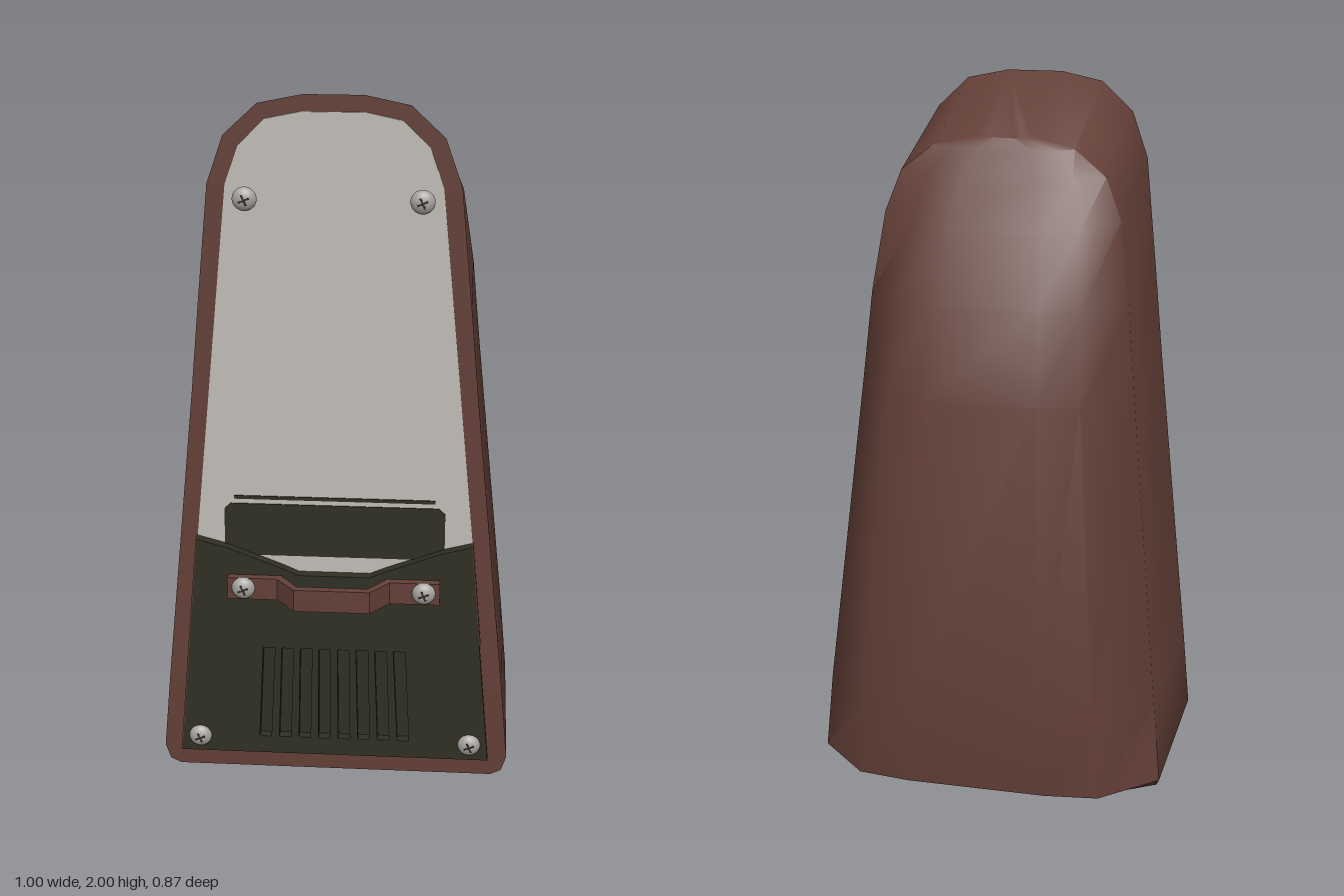
import * as THREE from 'three';
import { toCreasedNormals } from 'three/addons/utils/BufferGeometryUtils.js';

const mat = (name, color) => {
  const m = new THREE.MeshStandardMaterial({ color });
  m.name = name;
  return m;
};

// Closed shape from the right half of a symmetric outline
function mirroredShape(half) {
  const left = half.map(([x, y]) => [-x, y]).reverse();
  return new THREE.Shape([...half, ...left].map(([x, y]) => new THREE.Vector2(x, y)));
}

// Case: U-shaped sections stacked upward, tilting down to the back near the top
function caseGeometry() {
  const FRONT = 0.315;
  // front y, half width, back y, side corner z, chamfer z, back z
  const levels = [
    [0, 0.455, 0, -0.14, -0.22, -0.24],
    [0.015, 0.485, 0.02, -0.19, -0.29, -0.305],
    [0.06, 0.5, 0.06, -0.24, -0.39, -0.41],
    [0.28, 0.48, 0.28, -0.235, -0.41, -0.433],
    [1.18, 0.39, 1.18, -0.15, -0.32, -0.35],
    [1.43, 0.367, 1.43, -0.125, -0.255, -0.29],
    [1.76, 0.335, 1.62, -0.09, -0.17, -0.193],
    [1.89, 0.29, 1.75, -0.08, -0.11, -0.125],
    [1.975, 0.2, 1.83, -0.07, -0.08, -0.085],
    [2.0, 0.08, 1.86, -0.06, -0.068, -0.07],
  ];
  const pos = [], idx = [], n = 8;
  for (const [yf, w, yb, z1, z2, z3] of levels) {
    const half = [[w, FRONT], [w, z1], [0.7 * w, z2], [0.4 * w, z3]];
    const ring = [...half, ...half.map(([x, z]) => [-x, z]).reverse()];
    for (const [x, z] of ring) pos.push(x, yf + (yb - yf) * (FRONT - z) / (FRONT - z3), z);
  }
  const top = (levels.length - 1) * n;
  for (let r = 0; r < top; r += n) {
    for (let i = 0; i < n; i++) {
      const j = (i + 1) % n;
      idx.push(r + i, r + j, r + n + j, r + i, r + n + j, r + n + i);
    }
  }
  for (let i = 1; i < n - 1; i++) {
    idx.push(0, i + 1, i, top, top + i, top + i + 1);
  }
  const g = new THREE.BufferGeometry();
  g.setAttribute('position', new THREE.Float32BufferAttribute(pos, 3));
  g.setIndex(idx);
  return toCreasedNormals(g, 0.75);
}

export function createModel() {
  const wood = mat('brown wood', 0x633f37);
  const grey = mat('pale grey panel', 0xc0bcb7);
  const dark = mat('dark olive', 0x2f2f24);
  const metal = mat('screw metal', 0xa5a29f);

  const model = new THREE.Group();
  const add = (name, geometry, material, parent = model) => {
    const m = new THREE.Mesh(geometry, material);
    m.name = name;
    parent.add(m);
    return m;
  };
  const slab = (shape, depth, z) =>
    new THREE.ExtrudeGeometry(shape, { depth, bevelEnabled: false }).translate(0, 0, z);

  add('case', caseGeometry(), wood);

  // Pale front panel
  add('frontPanel', slab(mirroredShape([
    [0.4, 0.58], [0.385, 0.75], [0.287, 1.76], [0.25, 1.865], [0.18, 1.935], [0.085, 1.955],
  ]), 0.004, 0.314), grey);

  // Dark block and line low on the panel
  add('panelBlock', slab(mirroredShape([
    [0.14, 0.69], [0.308, 0.69], [0.308, 0.83], [0.29, 0.847],
  ]), 0.004, 0.317), dark);
  add('panelLine', new THREE.BoxGeometry(0.56, 0.01, 0.004).translate(0, 0.866, 0.319), dark);

  // Lower cover with slanted ventilation slots
  const cover = mirroredShape([
    [0.445, 0.065], [0.385, 0.745], [0.3, 0.722], [0.14, 0.66], [0.1, 0.642],
  ]);
  for (let i = 0; i < 8; i++) {
    const k = i - 3.5, xb = k * 0.057, xt = k * 0.053, h = 0.017;
    cover.holes.push(new THREE.Path([
      [xb - h, 0.12], [xt - h, 0.41], [xt + h, 0.41], [xb + h, 0.12],
    ].map(([x, y]) => new THREE.Vector2(x, y))));
  }
  add('lowerCover', slab(cover, 0.032, 0.315), dark);
  add('ventBacking', new THREE.BoxGeometry(0.5, 0.34, 0.006).translate(0, 0.265, 0.317), dark);

  // Brown edging on the cover's sides: full on one, upper part on the other
  const edge = (x) => (y) => x - (y - 0.065) * 0.0882;
  for (const [side, y0] of [[-1, 0.065], [1, 0.44]]) {
    const at = edge(0.445);
    const pts = [[at(y0), y0], [at(y0) + 0.003, y0], [at(0.745) + 0.003, 0.745], [at(0.745), 0.745]];
    const shape = new THREE.Shape(pts.map(([x, y]) => new THREE.Vector2(side * x, y)));
    add('coverEdge', slab(shape, 0.0315, 0.315), wood);
  }

  // Bent strap handle: profile drawn in x and z, extruded along y
  const strap = mirroredShape([
    [0.1, -0.412], [0.148, -0.347], [0.298, -0.347], [0.298, -0.37], [0.158, -0.37], [0.105, -0.435],
  ]);
  const strapGeo = new THREE.ExtrudeGeometry(strap, { depth: 0.065, bevelEnabled: false });
  strapGeo.rotateX(-Math.PI / 2).translate(0, 0.575, 0);
  add('strapHandle', strapGeo, wood);

  // Domed cross-head screws
  const dome = new THREE.SphereGeometry(0.033, 20, 8, 0, Math.PI * 2, 0, Math.PI / 2)
    .rotateX(Math.PI / 2).scale(1, 1, 0.65);
  const base = new THREE.CircleGeometry(0.033, 20).rotateY(Math.PI);
  for (const [x, y, z] of [[0.233, 1.728, 0.342], [0.253, 0.61, 0.369], [0.39, 0.115, 0.346]]) {
    for (const side of [-1, 1]) {
      const screw = new THREE.Group();
      screw.name = 'screw';
      screw.position.set(side * x, y, z);
      add('screwHead', dome, metal, screw);
      add('screwBase', base, metal, screw);
      for (const a of [0.4, 0.4 + Math.PI / 2]) {
        add('screwSlot', new THREE.BoxGeometry(0.03, 0.005, 0.005), dark, screw)
          .position.z = 0.0192;
        screw.children.at(-1).rotation.z = a;
      }
      model.add(screw);
    }
  }
  return model;
}
